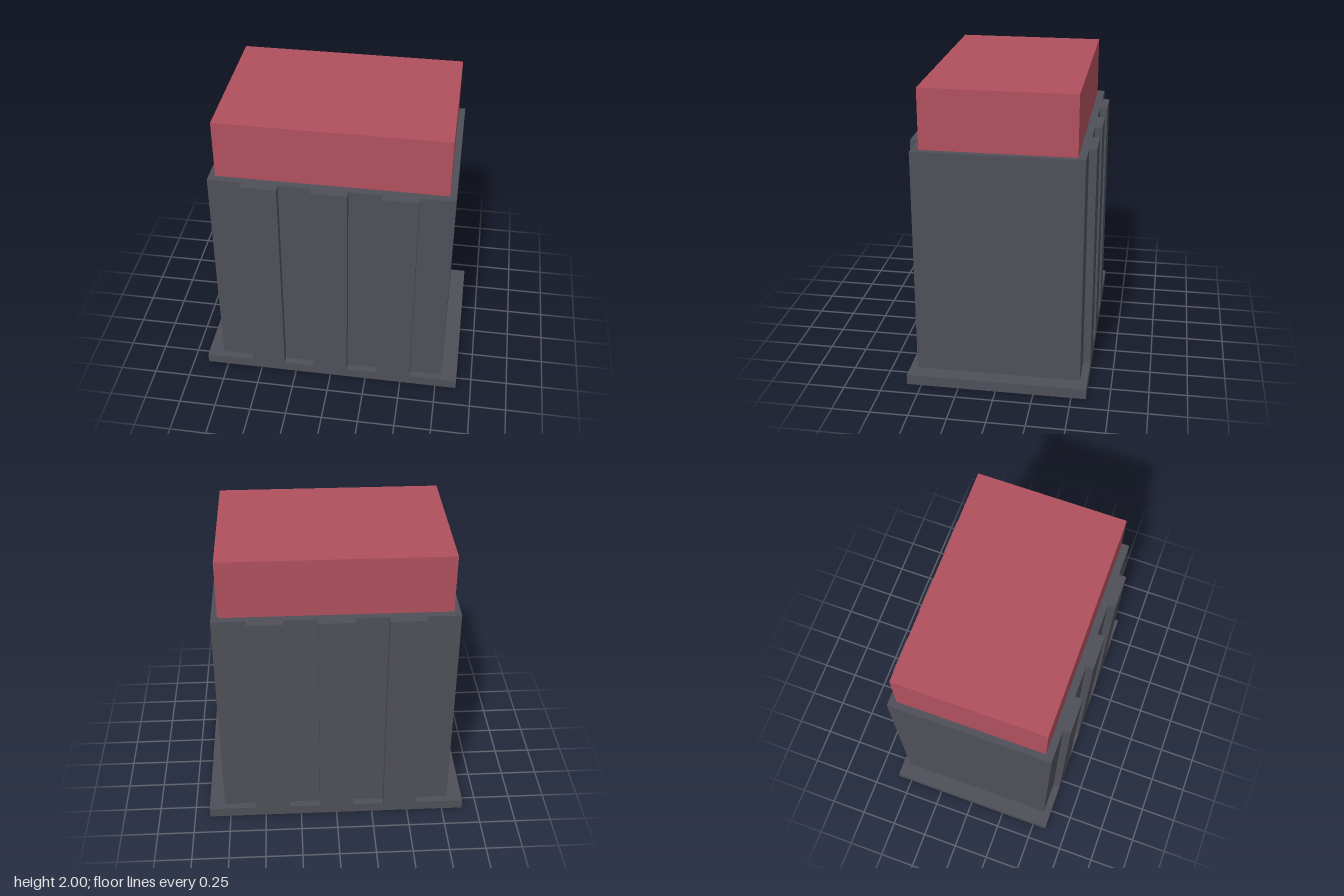
import * as THREE from 'three';

export function createModel() {
  const grey = new THREE.MeshStandardMaterial({ color: 0x4f5058 });
  grey.name = 'dark grey';
  const red = new THREE.MeshStandardMaterial({ color: 0xb0505e });
  red.name = 'muted red';

  const model = new THREE.Group();
  model.name = 'ribbedContainer';

  const add = (name, geometry, material, y) => {
    const mesh = new THREE.Mesh(geometry, material);
    mesh.name = name;
    mesh.position.y = y;
    model.add(mesh);
  };

  const baseTop = 0.07, bodyTop = 1.603, top = 2;
  const halfX = 0.788, wallZ = 0.547, ribZ = 0.597;
  const ribHalf = 0.117, ribCentres = [-0.448, 0, 0.448];

  // Base plate, flush with the ribs at front and back
  add('base', new THREE.BoxGeometry(1.79, baseTop, ribZ * 2), grey, baseTop / 2);

  // Body: one outline with three ribs on each long side, extruded upwards
  const side = [[-halfX, -wallZ]];
  for (const x of ribCentres) {
    side.push([x - ribHalf, -wallZ], [x - ribHalf, -ribZ], [x + ribHalf, -ribZ], [x + ribHalf, -wallZ]);
  }
  side.push([halfX, -wallZ]);
  const outline = [...side, ...side.map(([x, z]) => [-x, -z])];
  const shape = new THREE.Shape(outline.map(([x, z]) => new THREE.Vector2(x, z)));
  const body = new THREE.ExtrudeGeometry(shape, { depth: bodyTop - baseTop, bevelEnabled: false });
  body.rotateX(-Math.PI / 2);
  add('ribbedBody', body, grey, baseTop);

  // Block standing on top of the body
  add('topBlock', new THREE.BoxGeometry(1.492, top - bodyTop, 0.995), red, (top + bodyTop) / 2);

  return model;
}
